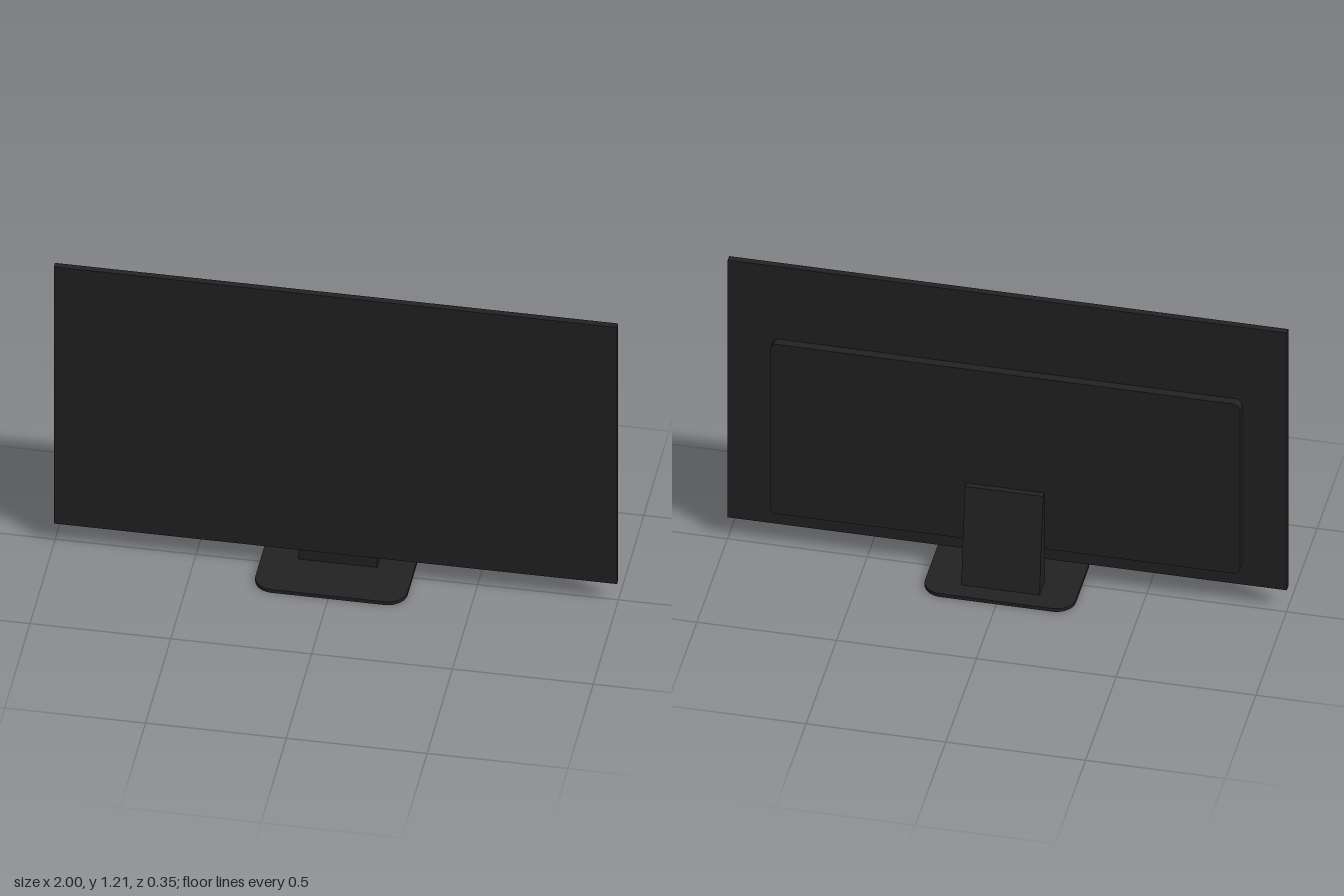
import * as THREE from 'three';

// Rounded rectangle centred on the origin
function roundedRect(w, h, r) {
  const s = new THREE.Shape();
  const x = w / 2 - r, y = h / 2 - r;
  s.absarc(x, y, r, 0, Math.PI / 2);
  s.absarc(-x, y, r, Math.PI / 2, Math.PI);
  s.absarc(-x, -y, r, Math.PI, Math.PI * 1.5);
  s.absarc(x, -y, r, Math.PI * 1.5, Math.PI * 2);
  s.closePath();
  return s;
}

function extrude(shape, depth) {
  return new THREE.ExtrudeGeometry(shape, { depth, bevelEnabled: false, curveSegments: 10 });
}

export function createModel() {
  const group = new THREE.Group();
  const black = new THREE.MeshStandardMaterial({ color: 0x222222 });
  black.name = 'charcoal plastic';

  const add = (name, geometry) => {
    const mesh = new THREE.Mesh(geometry, black);
    mesh.name = name;
    group.add(mesh);
  };

  // Thin display panel
  add('screenPanel', new THREE.BoxGeometry(2, 1.12, 0.024).translate(0, 0.65, 0.017));

  // Raised electronics housing on the back
  add('rearHousing', extrude(roundedRect(1.68, 0.738, 0.025), 0.032).translate(0, 0.526, -0.027));

  // Wedge-shaped neck, profile drawn as (-z, y) and extruded along x
  const profile = new THREE.Shape([
    [0.018, 0.01], [0.108, 0.01], [0.048, 0.4], [0.02, 0.4],
  ].map(([z, y]) => new THREE.Vector2(z, y)));
  add('standNeck', extrude(profile, 0.28).translate(0, 0, -0.14).rotateY(Math.PI / 2));

  // Flat rounded foot
  add('standBase', extrude(roundedRect(0.54, 0.348, 0.07), 0.014).rotateX(-Math.PI / 2));

  return group;
}
